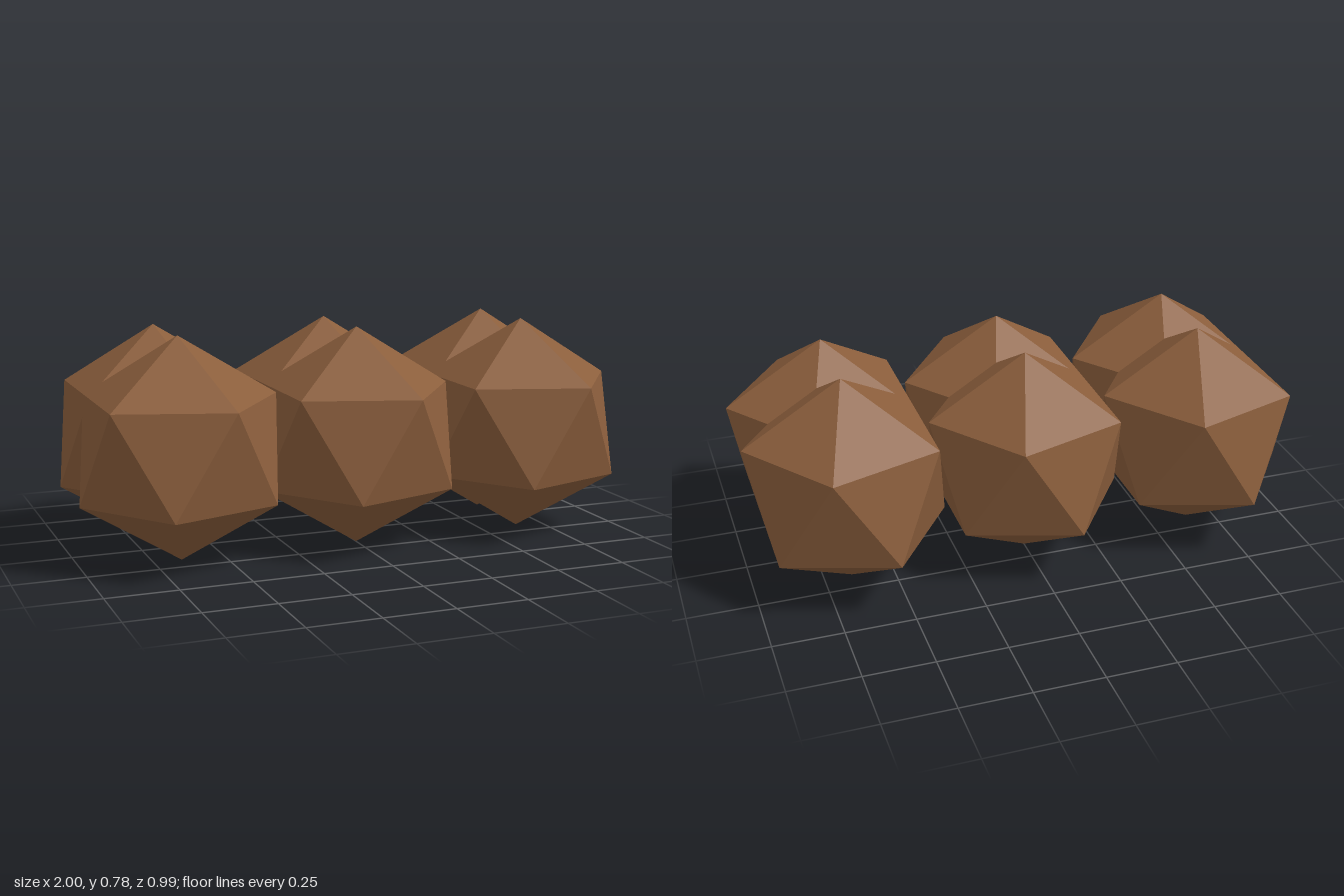
import * as THREE from 'three';

export function createModel() {
  const group = new THREE.Group();
  const brown = new THREE.MeshStandardMaterial({ color: 0x8b5e3c, flatShading: true });
  brown.name = 'brown';

  // Icosahedron standing on one corner, with an upper-ring corner pointing to +x
  const radius = 0.391;
  const geometry = new THREE.IcosahedronGeometry(radius, 0);
  geometry.rotateZ(-Math.atan(2 / (1 + Math.sqrt(5))));

  // Two overlapping rows of three clumps
  for (const [row, z] of [['front', 0.163], ['back', -0.163]]) {
    for (const [column, x] of [['Right', -0.65], ['Middle', 0], ['Left', 0.65]]) {
      const clump = new THREE.Mesh(geometry, brown);
      clump.name = `${row}${column}Clump`;
      clump.position.set(x, radius, z);
      group.add(clump);
    }
  }
  return group;
}
